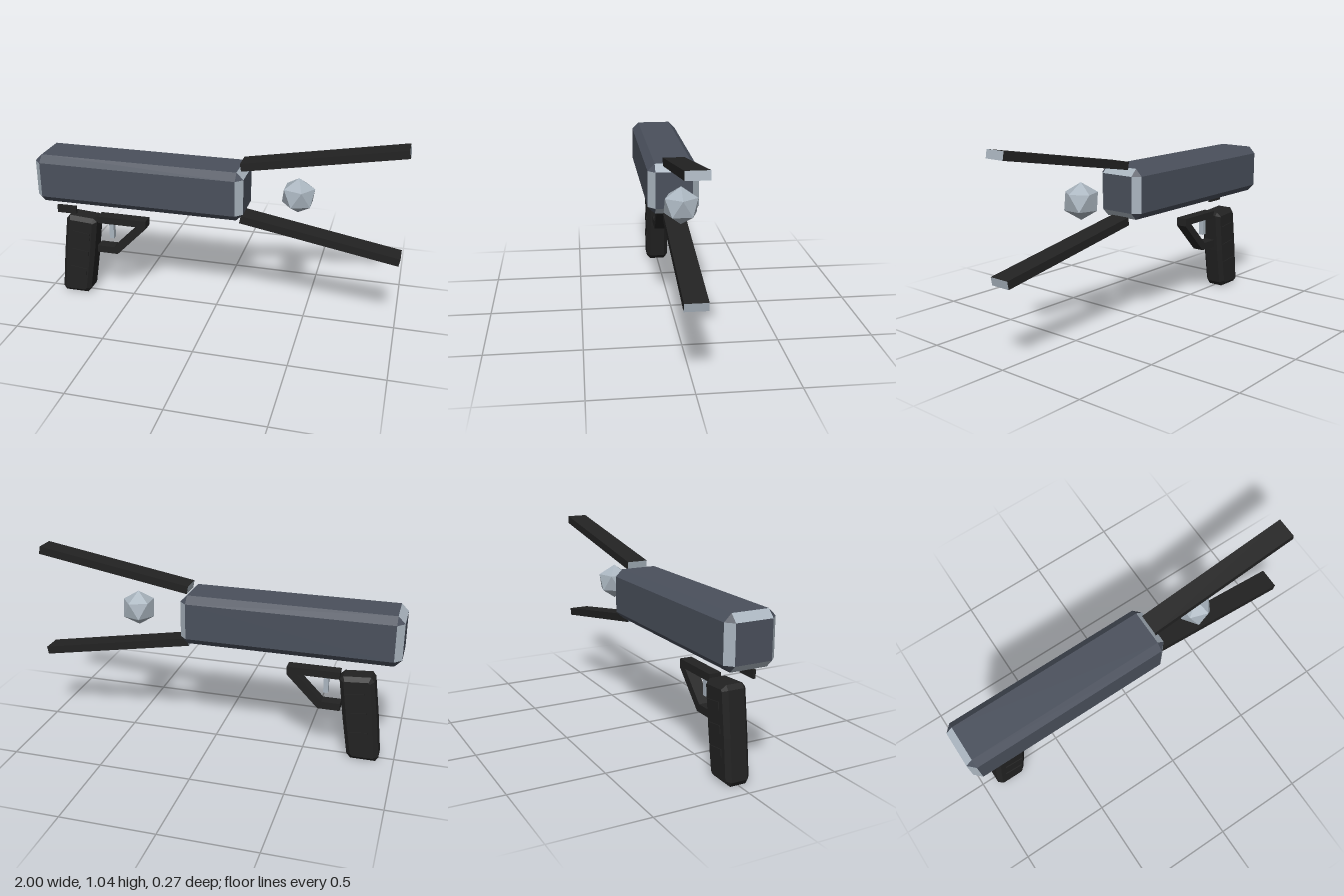
import * as THREE from 'three';

const mat = (name, color) => new THREE.MeshStandardMaterial({ name, color, flatShading: true });

// Box with flat chamfers; group 0 = faces, long edges and corners, group 1 = chamfers around the two x ends
function chamferBox(hx, hy, hz, c) {
  const h = [hx, hy, hz];
  const lists = [[], []];
  // corner point lying on the face of the given axis
  const point = (s, axis) => new THREE.Vector3(...s.map((v, i) => v * (i === axis ? h[i] : h[i] - c)));
  const tri = (list, a, b, d) => {
    const n = b.clone().sub(a).cross(d.clone().sub(a));
    const out = a.clone().add(b).add(d);
    const order = n.dot(out) > 0 ? [a, b, d] : [a, d, b];
    order.forEach(p => list.push(p.x, p.y, p.z));
  };
  const quad = (list, a, b, d, e) => { tri(list, a, b, d); tri(list, a, d, e); };
  const signs = (axis, sa, b, sb, d, sd) => {
    const s = [0, 0, 0];
    s[axis] = sa; s[b] = sb; s[d] = sd;
    return s;
  };
  for (let a = 0; a < 3; a++) {
    const b = (a + 1) % 3, d = (a + 2) % 3;
    for (const s of [-1, 1]) {
      // flat face
      quad(lists[0], ...[[-1, -1], [1, -1], [1, 1], [-1, 1]].map(([u, v]) => point(signs(a, s, b, u, d, v), a)));
      // chamfer between faces a and b
      for (const t of [-1, 1]) {
        const lo = signs(a, s, b, t, d, -1), hi = signs(a, s, b, t, d, 1);
        quad(lists[a === 0 || b === 0 ? 1 : 0], point(lo, a), point(hi, a), point(hi, b), point(lo, b));
      }
    }
  }
  // corner triangles
  for (const x of [-1, 1]) for (const y of [-1, 1]) for (const z of [-1, 1]) {
    const s = [x, y, z];
    tri(lists[0], point(s, 0), point(s, 1), point(s, 2));
  }
  const g = new THREE.BufferGeometry();
  g.setAttribute('position', new THREE.Float32BufferAttribute([...lists[0], ...lists[1]], 3));
  g.addGroup(0, lists[0].length / 3, 0);
  g.addGroup(lists[0].length / 3, lists[1].length / 3, 1);
  g.computeVertexNormals();
  return g;
}

// Side outline extruded symmetrically about z = 0, with an optional inward bevel
function profile(points, halfDepth, bevel = 0) {
  const shape = new THREE.Shape(points.map(p => new THREE.Vector2(...p)));
  const g = new THREE.ExtrudeGeometry(shape, {
    depth: 2 * (halfDepth - bevel), bevelEnabled: bevel > 0, bevelSegments: 1,
    bevelSize: bevel, bevelThickness: bevel, bevelOffset: -bevel,
  });
  return g.translate(0, 0, bevel - halfDepth);
}

// Twenty-sided gem standing on a point
function gemGeometry(r) {
  const v = [0, 1, 0], f = [];
  for (let i = 0; i < 10; i++) {
    const a = i * Math.PI / 5;
    v.push(Math.cos(a) * 0.8944, i % 2 ? -0.4472 : 0.4472, Math.sin(a) * 0.8944);
  }
  v.push(0, -1, 0);
  for (let i = 0; i < 10; i++) {
    const a = 1 + i, b = 1 + (i + 1) % 10, c = 1 + (i + 2) % 10;
    if (i % 2) f.push(a, b, c, 11, a, c);
    else f.push(a, c, b, 0, c, a);
  }
  return new THREE.PolyhedronGeometry(v, f, r, 0);
}

export function createModel() {
  const model = new THREE.Group();
  const slate = mat('slate', 0x4a505c);
  const silver = mat('silver', 0xaab5bf);
  const black = mat('black', 0x222222);

  const add = (name, geometry, material, x = 0, y = 0, z = 0, tilt = 0) => {
    const m = new THREE.Mesh(geometry, material);
    m.name = name;
    m.position.set(x, y, z);
    m.rotation.z = tilt;
    model.add(m);
    return m;
  };

  // Main housing with bright chamfers at both ends
  add('body', chamferBox(0.585, 0.136, 0.136, 0.038), [slate, silver], -0.415, 0.725);

  // Two spread prongs with bright end caps
  const prong = new THREE.BoxGeometry(0.866, 0.043, 0.114);
  for (const s of [1, -1]) {
    add(s > 0 ? 'upperProng' : 'lowerProng', prong,
      [silver, silver, black, black, black, black], 0.57, 0.725 + s * 0.2235, 0, s * Math.PI / 18);
  }

  // Floating gem between the prongs
  add('gem', gemGeometry(0.097), silver, 0.445, 0.727);

  // Grip, with three raised ridges on each side
  add('grip', profile([
    [-0.905, 0.0], [-0.77, 0.0], [-0.748, 0.025], [-0.715, 0.235], [-0.686, 0.46], [-0.705, 0.478],
    [-0.85, 0.488], [-0.868, 0.465], [-0.897, 0.24], [-0.92, 0.025],
  ], 0.065, 0.022), black);
  for (const y of [0.15, 0.263, 0.375]) {
    add('gripRidge', new THREE.BoxGeometry(0.1, 0.04, 0.14), black, -0.83 + y * 0.14, y, 0, -0.13);
  }

  // Trigger guard and trigger
  add('triggerGuard', profile([
    [-0.685, 0.49], [-0.4, 0.49], [-0.4, 0.445], [-0.575, 0.267], [-0.695, 0.267],
    [-0.695, 0.308], [-0.595, 0.308], [-0.455, 0.45], [-0.685, 0.45],
  ], 0.033), black);
  add('trigger', new THREE.BoxGeometry(0.026, 0.1, 0.03), silver, -0.612, 0.405);

  // Small switch on one side, below the housing
  add('sideSwitch', new THREE.BoxGeometry(0.112, 0.044, 0.014), black, -0.846, 0.538, 0.075);

  return model;
}
